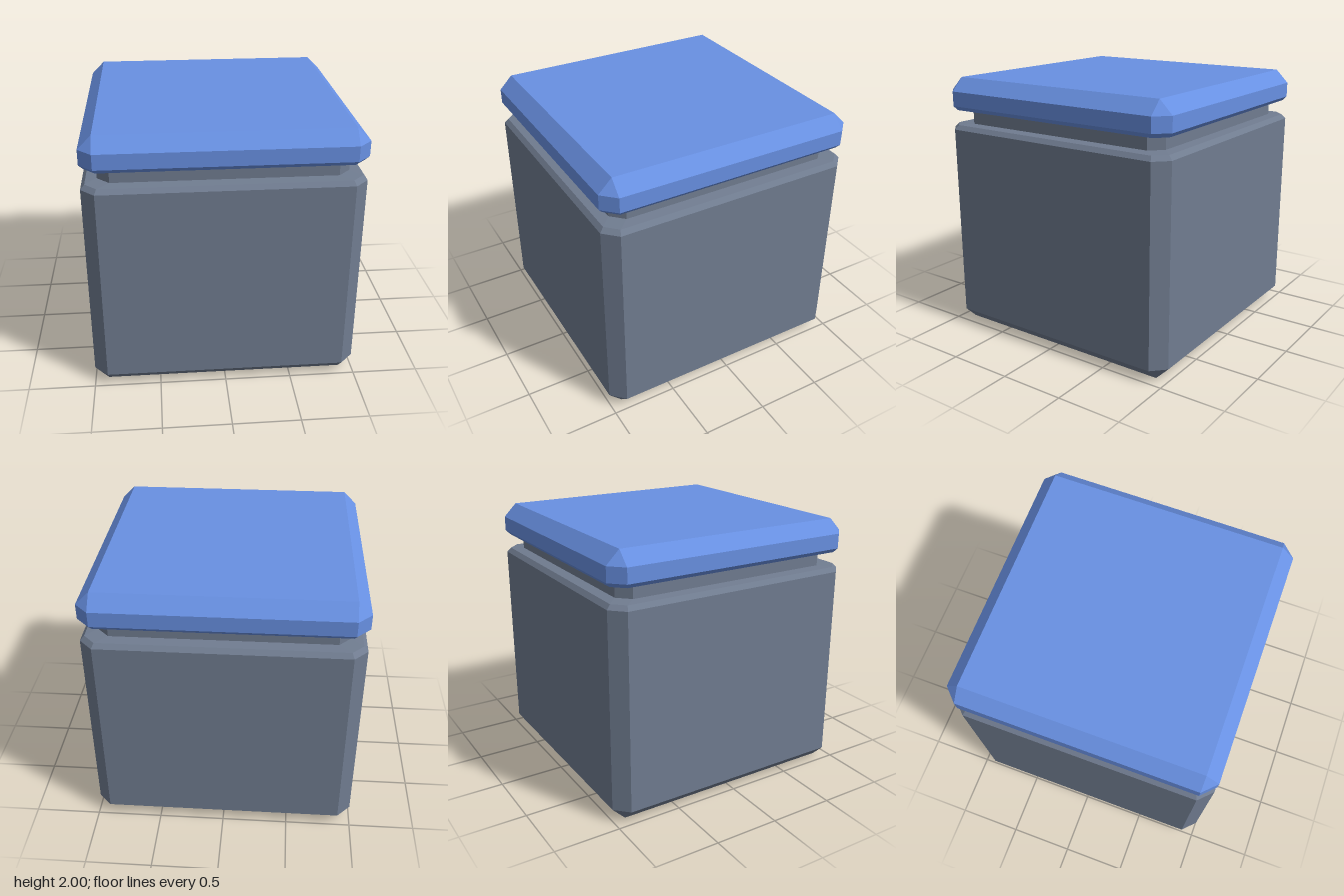
import * as THREE from 'three';

// Square ring with cut corners: half-width h, half-length f of the flat sides.
function ring([y, h, f]) {
  const points = [];
  for (const z of [f, -f, f, -f, f, -f, f, -f]) {
    const turn = points.length >> 1;
    let p = [h, z];
    for (let i = 0; i < turn; i++) p = [p[1], -p[0]];
    points.push([p[0], y, p[1]]);
  }
  return points;
}

// Skins rings from bottom to top, with optional flat caps.
function loft(name, color, levels, capBottom, capTop) {
  const rings = levels.map(ring);
  const pos = [];
  const tri = (a, b, c) => pos.push(...a, ...b, ...c);
  for (let k = 0; k < rings.length - 1; k++) {
    const lo = rings[k], up = rings[k + 1];
    for (let i = 0; i < 8; i++) {
      const j = (i + 1) % 8;
      tri(lo[i], lo[j], up[j]);
      tri(lo[i], up[j], up[i]);
    }
  }
  const first = rings[0], last = rings[rings.length - 1];
  for (let i = 1; i < 7; i++) {
    if (capBottom) tri(first[0], first[i + 1], first[i]);
    if (capTop) tri(last[0], last[i], last[i + 1]);
  }
  const geometry = new THREE.BufferGeometry();
  geometry.setAttribute('position', new THREE.Float32BufferAttribute(pos, 3));
  geometry.computeVertexNormals();
  const mesh = new THREE.Mesh(geometry, new THREE.MeshStandardMaterial({ color, flatShading: true }));
  mesh.name = name;
  return mesh;
}

export function createModel() {
  const group = new THREE.Group();
  group.name = 'liddedBox';
  const grey = 0x707c90, blue = 0x6890e2;

  // Chamfered body up to the shelf around the neck
  group.add(loft('body', grey, [
    [0, 0.9, 0.9], [0.1, 1, 0.9], [1.605, 1, 0.9], [1.638, 0.97, 0.885], [1.645, 0.89, 0.8],
  ], true, false));

  // Recessed neck, flaring out into the underside of the lid
  group.add(loft('neck', grey, [
    [1.645, 0.89, 0.8], [1.747, 0.89, 0.8], [1.754, 0.97, 0.885],
  ], false, false));

  // Bevelled lid
  group.add(loft('lid', blue, [
    [1.754, 0.97, 0.885], [1.787, 1, 0.9], [1.9, 1, 0.9], [2, 0.9, 0.9],
  ], false, true));

  return group;
}
